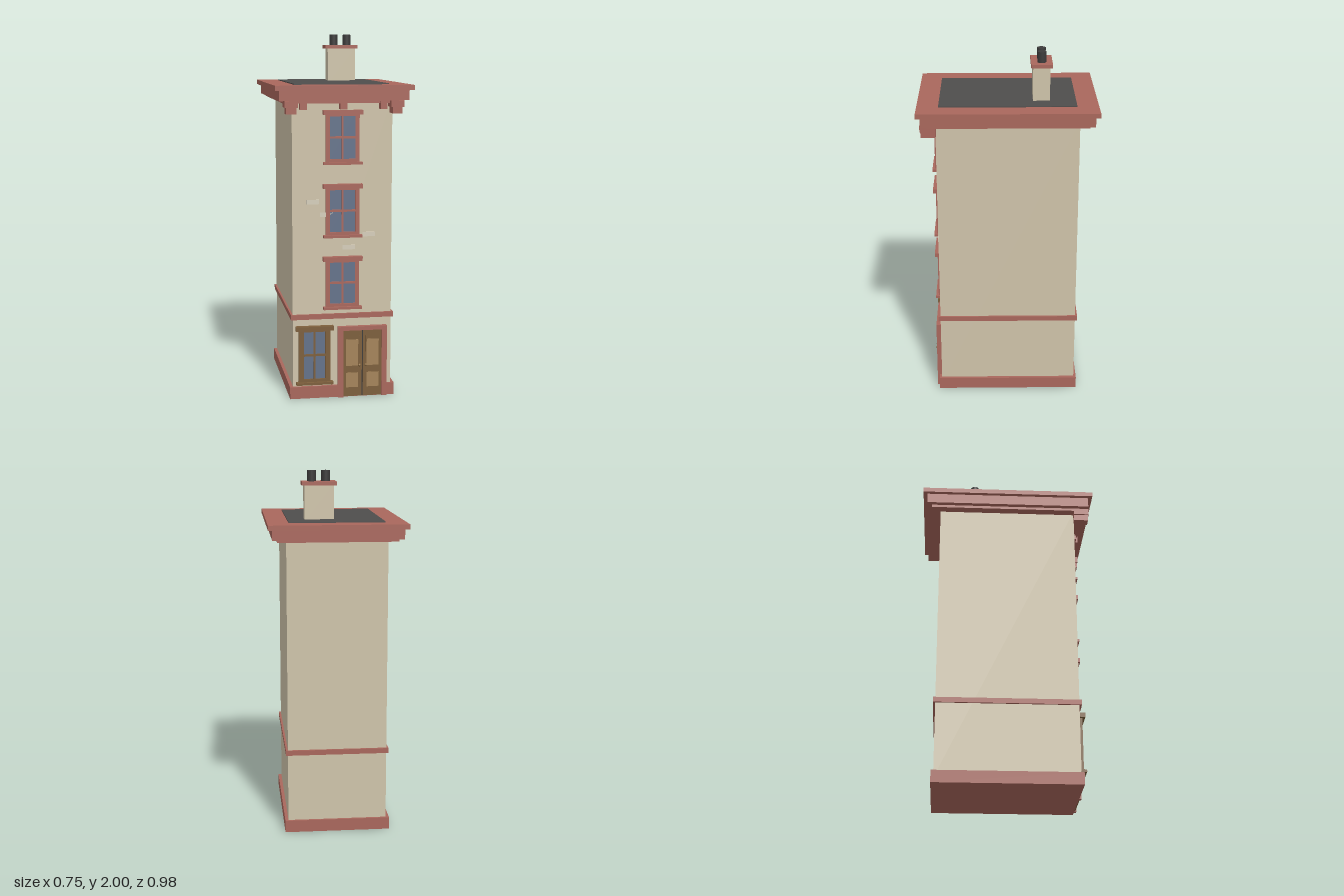
import * as THREE from 'three';

const mat = (color) => new THREE.MeshStandardMaterial({ color });
const M = {
  wall: mat(0xcfc4aa), trim: mat(0xa9675c), roof: mat(0x4f4d4c), glass: mat(0x64728a),
  wood: mat(0x7d5f3c), panel: mat(0xa5845a), dark: mat(0x3c3b3b), brick: mat(0xd6cebb), brass: mat(0x8a6a40),
};

// Box given by its min and max on each axis
function box(parent, name, m, [x0, x1], [y0, y1], [z0, z1]) {
  const mesh = new THREE.Mesh(new THREE.BoxGeometry(x1 - x0, y1 - y0, z1 - z0), m);
  mesh.name = name;
  mesh.position.set((x0 + x1) / 2, (y0 + y1) / 2, (z0 + z1) / 2);
  parent.add(mesh);
  return mesh;
}

function group(parent, name) {
  const g = new THREE.Group();
  g.name = name;
  parent.add(g);
  return g;
}

// Rectangular frame with a hole, extruded forward from z
function frame(parent, name, m, [x0, x1], [y0, y1], side, top, bottom, z, depth) {
  const s = new THREE.Shape([[x0, y0], [x1, y0], [x1, y1], [x0, y1]].map((p) => new THREE.Vector2(...p)));
  const a = x0 + side, b = x1 - side, c = y0 + bottom, d = y1 - top;
  s.holes.push(new THREE.Path([[a, c], [a, d], [b, d], [b, c]].map((p) => new THREE.Vector2(...p))));
  const mesh = new THREE.Mesh(new THREE.ExtrudeGeometry(s, { depth, bevelEnabled: false }), m);
  mesh.name = name;
  mesh.position.z = z;
  parent.add(mesh);
}

// Four-pane window with lintel and sill
function sashWindow(parent, name, m, cx, y0, y1, half, inset) {
  const g = group(parent, name);
  const span = (h) => [cx - h, cx + h];
  const pane = half - inset;
  const mid = (y0 + y1) / 2;
  frame(g, 'windowFrame', m, span(half), [y0 + 0.005, y1 - 0.015], inset, 0.018, 0.025, 0.385, 0.02);
  box(g, 'glass', M.glass, span(pane), [y0 + 0.02, y1 - 0.02], [0.385, 0.395]);
  box(g, 'verticalBar', m, span(0.005), [y0 + 0.02, y1 - 0.02], [0.39, 0.402]);
  box(g, 'horizontalBar', m, span(pane), [mid - 0.006, mid + 0.006], [0.39, 0.402]);
  box(g, 'lintel', m, span(half + 0.017), [y1 - 0.024, y1], [0.385, 0.42]);
  box(g, 'sill', m, span(half + 0.015), [y0, y0 + 0.014], [0.385, 0.42]);
}

export function createModel() {
  const house = new THREE.Group();
  house.name = 'townhouse';
  const slab = (name, m, hx, hz, y) => box(house, name, m, [-hx, hx], y, [-hz, hz]);

  // Walls, plinth and string course
  slab('walls', M.wall, 0.275, 0.388, [0.03, 1.66]);
  slab('plinth', M.trim, 0.293, 0.402, [0, 0.067]);
  slab('stringCourse', M.trim, 0.286, 0.4, [0.448, 0.476]);

  // Stepped cornice and flat roof
  slab('corniceLower', M.trim, 0.325, 0.437, [1.635, 1.652]);
  slab('corniceMiddle', M.trim, 0.352, 0.465, [1.65, 1.708]);
  slab('corniceTop', M.trim, 0.375, 0.488, [1.706, 1.732]);
  slab('roof', M.roof, 0.26, 0.371, [1.7, 1.737]);

  // Cornice brackets on the front
  const brackets = group(house, 'brackets');
  for (const s of [-1, 1]) {
    const g = group(brackets, 'cornerBracket');
    const cx = s * 0.287;
    box(g, 'bracketBlock', M.trim, [cx - 0.027, cx + 0.027], [1.58, 1.65], [0.385, 0.466]);
    box(g, 'bracketCap', M.trim, [cx - 0.036, cx + 0.036], [1.615, 1.65], [0.385, 0.47]);
  }
  for (const cx of [-0.218, 0, 0.218]) {
    box(brackets, 'smallBracket', M.trim, [cx - 0.018, cx + 0.018], [1.602, 1.65], [0.385, 0.44]);
  }

  // Upper windows, one per floor
  for (const y of [0.503, 0.903, 1.303]) sashWindow(house, 'upperWindow', M.trim, 0, y, y + 0.294, 0.092, 0.022);
  sashWindow(house, 'groundWindow', M.wood, -0.156, 0.08, 0.411, 0.088, 0.028);

  // Double door in its surround
  const door = group(house, 'doorway');
  for (const x of [[-0.026, 0.003], [0.22, 0.249]]) box(door, 'doorJamb', M.trim, x, [0, 0.402], [0.385, 0.415]);
  box(door, 'doorHead', M.trim, [0.003, 0.22], [0.38, 0.402], [0.385, 0.415]);
  for (const s of [-1, 1]) {
    const leaf = group(door, 'doorLeaf');
    const span = (a, b) => [0.1115 + Math.min(s * a, s * b), 0.1115 + Math.max(s * a, s * b)];
    box(leaf, 'leafBoard', M.wood, span(0.003, 0.1085), [0.003, 0.38], [0.385, 0.408]);
    box(leaf, 'upperPanel', M.panel, span(0.024, 0.092), [0.178, 0.328], [0.4, 0.411]);
    box(leaf, 'lowerPanel', M.panel, span(0.024, 0.092), [0.055, 0.138], [0.4, 0.411]);
    box(leaf, 'pullBar', M.wood, span(0.015, 0.023), [0.175, 0.35], [0.4, 0.415]);
    const knob = new THREE.Mesh(new THREE.SphereGeometry(0.008, 12, 8), M.brass);
    knob.name = 'knob';
    knob.position.set(0.1115 + s * 0.018, 0.183, 0.418);
    leaf.add(knob);
  }
  box(door, 'doorGap', M.dark, [0.1075, 0.1155], [0.003, 0.38], [0.385, 0.405]);

  // Loose bricks standing out of the front wall
  for (const [x, y] of [[-0.163, 1.1], [-0.088, 1.03], [0.147, 0.916], [0.036, 0.846]]) {
    box(house, 'brick', M.brick, [x - 0.035, x + 0.035], [y - 0.012, y + 0.012], [0.38, 0.395]);
  }

  // Chimney with two pots
  const chimney = group(house, 'chimney');
  box(chimney, 'stack', M.wall, [0.005, 0.165], [1.72, 1.925], [-0.229, -0.137]);
  box(chimney, 'chimneyCap', M.trim, [-0.01, 0.179], [1.921, 1.941], [-0.242, -0.126]);
  for (const x of [0.046, 0.123]) {
    const pot = new THREE.Mesh(new THREE.CylinderGeometry(0.024, 0.024, 0.065, 20), M.dark);
    pot.name = 'chimneyPot';
    pot.position.set(x, 1.9675, -0.184);
    chimney.add(pot);
  }
  return house;
}
